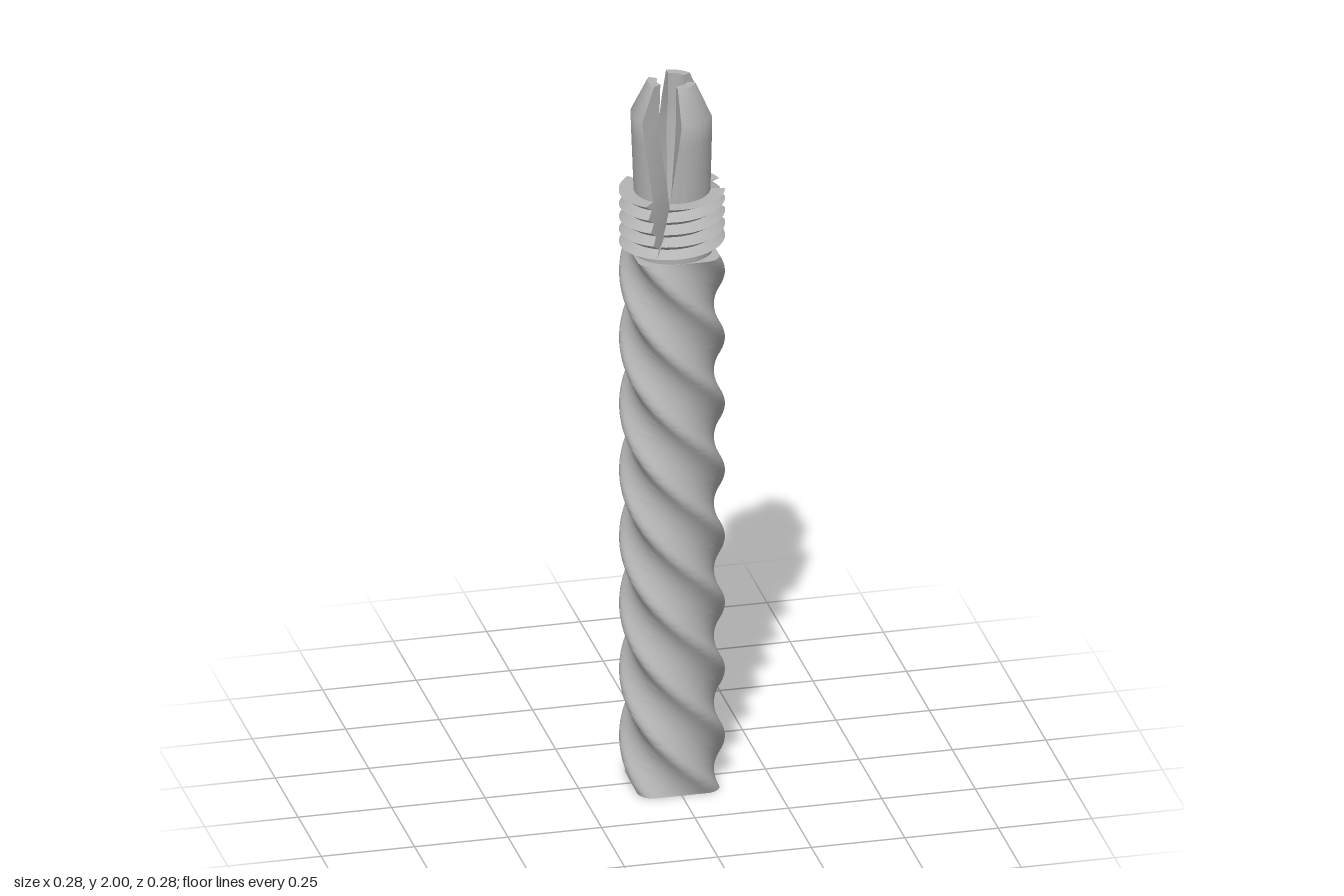
import * as THREE from 'three';
import { toCreasedNormals } from 'three/addons/utils/BufferGeometryUtils.js';

const TAU = Math.PI * 2;
const steel = new THREE.MeshStandardMaterial({ color: 0xb4b4b4 });
steel.name = 'steel grey';

// piecewise linear lookup in [[y, value], ...]
function lookup(table, y) {
  if (y <= table[0][0]) return table[0][1];
  for (let i = 1; i < table.length; i++) {
    const [y0, v0] = table[i - 1], [y1, v1] = table[i];
    if (y <= y1) return v0 + (v1 - v0) * (y - y0) / (y1 - y0);
  }
  return table[table.length - 1][1];
}

// rounded square bar with a round bore, twisted two full turns
function twistedHandle() {
  const half = 0.109, round = 0.04, height = 1.52, c = half - round;
  const points = [];
  for (let k = 0; k < 4; k++) {
    const rot = (x, y) => new THREE.Vector2(x, y).rotateAround(new THREE.Vector2(), k * TAU / 4);
    for (let i = 1; i < 8; i++) points.push(rot(half, -c + 2 * c * i / 8));
    for (let i = 0; i <= 7; i++) {
      const a = TAU / 4 * i / 7;
      points.push(rot(c + round * Math.cos(a), c + round * Math.sin(a)));
    }
  }
  const shape = new THREE.Shape(points);
  shape.holes.push(new THREE.Path().absarc(0, 0, 0.037, 0, TAU, true));
  const geo = new THREE.ExtrudeGeometry(shape, { depth: height, steps: 192, curveSegments: 12, bevelEnabled: false });
  geo.rotateX(-Math.PI / 2);
  const pos = geo.attributes.position, v = new THREE.Vector3(), up = new THREE.Vector3(0, 1, 0);
  for (let i = 0; i < pos.count; i++) {
    v.fromBufferAttribute(pos, i);
    v.applyAxisAngle(up, -v.y / height * 2 * TAU);
    pos.setXYZ(i, v.x, v.y, v.z);
  }
  return toCreasedNormals(geo, 0.6);
}

// one collet jaw: threaded foot, flared body, conical nose
const threadBottom = 1.54, threadTop = 1.69, pitch = 0.036;
const slotHalfAngle = [[1.54, 0], [1.56, 0], [1.575, 0.06], [1.69, 0.23], [1.9, 0.52], [2, 0.52]];
const boreRadius = [[1.54, 0.013], [1.62, 0.013], [1.85, 0.048], [2, 0.042]];

function colletJaw(index) {
  const levels = [];
  for (let m = 0; ; m++) {
    const y = threadBottom - pitch + m * pitch / 2;
    levels.push({ y, r: m % 2 ? 0.138 : 0.112, thread: true });
    if (y >= threadTop) break;
  }
  levels.push({ y: threadTop, r: 0.1 }, { y: 1.85, r: 0.106 }, { y: 1.91, r: 0.108 }, { y: 2, r: 0.064 });

  const n = 24, verts = [], faces = [];
  for (const level of levels) {
    for (let j = 0; j < 2 * n; j++) {
      const outer = j < n;
      const t = (outer ? j : 2 * n - 1 - j) / (n - 1);
      let y = level.y;
      if (level.thread) {
        // the thread climbs by one pitch per turn
        y += pitch * (index + t) / 3;
        y = Math.min(threadTop, Math.max(threadBottom, y));
      }
      const slot = lookup(slotHalfAngle, y);
      const a = index * TAU / 3 + slot + t * (TAU / 3 - 2 * slot);
      const r = outer ? level.r : lookup(boreRadius, y);
      verts.push(r * Math.cos(a), y, -r * Math.sin(a));
    }
  }
  const ring = 2 * n;
  for (let i = 0; i < levels.length - 1; i++) {
    for (let j = 0; j < ring; j++) {
      const a = i * ring + j, b = i * ring + (j + 1) % ring;
      faces.push(a, b, b + ring, a, b + ring, a + ring);
    }
  }
  const top = (levels.length - 1) * ring;
  for (let k = 0; k < n - 1; k++) {
    const o = top + k, p = top + ring - 1 - k;
    faces.push(o, o + 1, p, o + 1, p - 1, p);
  }
  const geo = new THREE.BufferGeometry();
  geo.setAttribute('position', new THREE.Float32BufferAttribute(verts, 3));
  geo.setIndex(faces);
  return toCreasedNormals(geo, 0.5);
}

export function createModel() {
  const model = new THREE.Group();
  model.name = 'pinViseHandle';
  const add = (name, geo, parent = model) => {
    const mesh = new THREE.Mesh(geo, steel);
    mesh.name = name;
    parent.add(mesh);
    return mesh;
  };

  add('twistedHandle', twistedHandle());

  // plain neck that also closes the slot floors
  add('neck', new THREE.CylinderGeometry(0.111, 0.107, 0.047, 64)).position.y = 1.5425;

  const collet = new THREE.Group();
  collet.name = 'collet';
  for (let i = 0; i < 3; i++) add('jaw' + (i + 1), colletJaw(i), collet);
  model.add(collet);

  return model;
}
